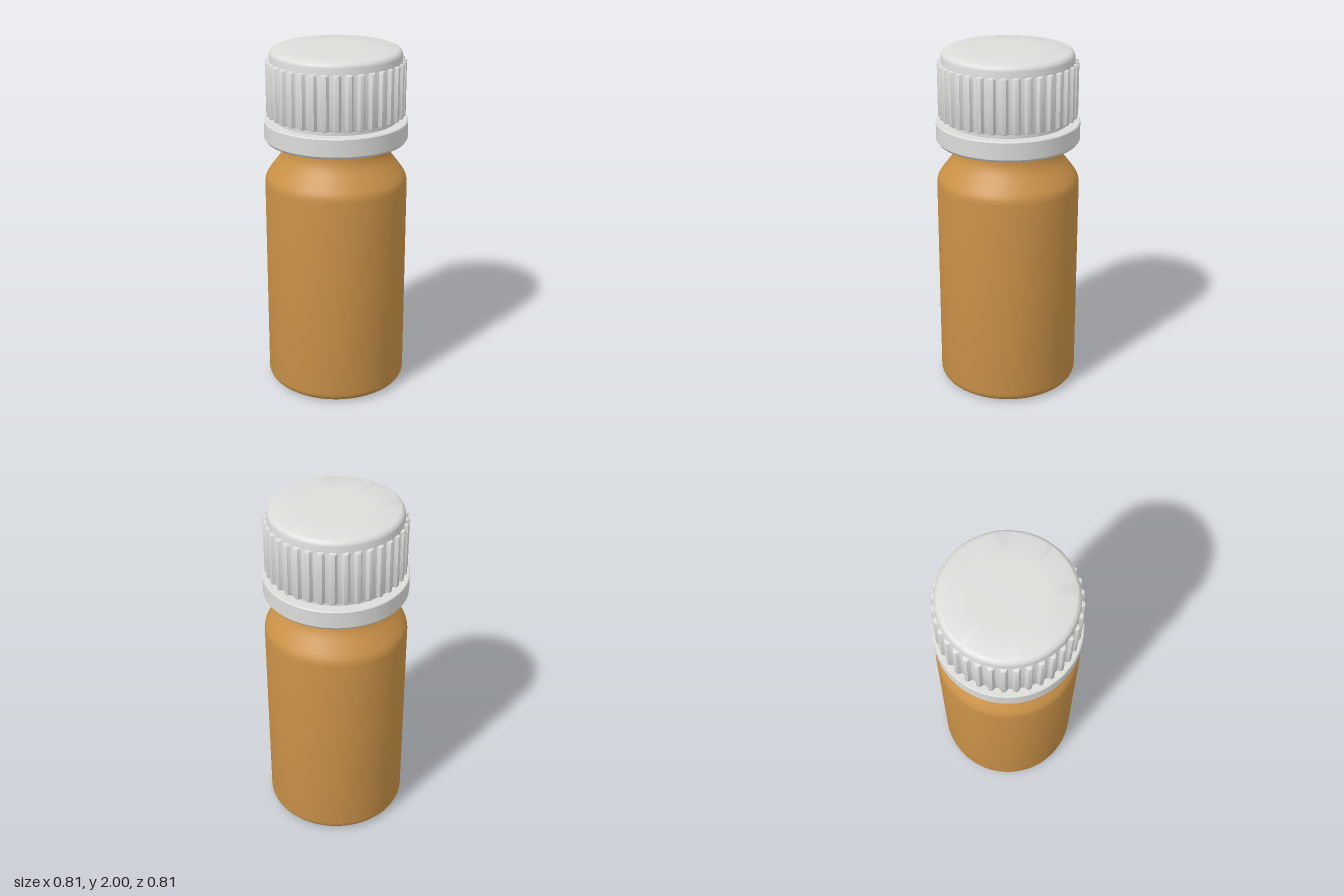
import * as THREE from 'three';
import { toCreasedNormals } from 'three/addons/utils/BufferGeometryUtils.js';

const SEGMENTS = 96;

// Lathe from [radius, height] pairs, listed from bottom to top on the outside
function lathe(name, profile, material, crease = 0.6) {
  const points = profile.map(([r, y]) => new THREE.Vector2(r, y));
  const geometry = toCreasedNormals(new THREE.LatheGeometry(points, SEGMENTS), crease);
  const mesh = new THREE.Mesh(geometry, material);
  mesh.name = name;
  return mesh;
}

// Quarter-round points between two angles
function arc(cx, cy, r, from, to, steps = 6) {
  return Array.from({ length: steps + 1 }, (_, i) => {
    const a = from + ((to - from) * i) / steps;
    return [cx + r * Math.cos(a), cy + r * Math.sin(a)];
  });
}

// Toothed outline extruded upward to make the grip
function gripGeometry(count, inner, outer, y0, y1) {
  const shape = new THREE.Shape();
  const bevel = 0.008;
  const step = (Math.PI * 2) / count;
  const teeth = [[-0.34, inner], [-0.16, outer], [0, outer + 0.003], [0.16, outer], [0.34, inner]];
  for (let i = 0; i < count; i++) {
    teeth.forEach(([t, r], k) => {
      const a = (i + t) * step + 0.02;
      if (i + k === 0) shape.moveTo(r * Math.cos(a), r * Math.sin(a));
      else shape.lineTo(r * Math.cos(a), r * Math.sin(a));
    });
  }
  shape.closePath();
  const geometry = new THREE.ExtrudeGeometry(shape, {
    depth: y1 - y0 - 2 * bevel, bevelEnabled: true, bevelSize: bevel,
    bevelThickness: bevel, bevelOffset: -bevel, bevelSegments: 2,
  });
  geometry.rotateX(-Math.PI / 2);
  geometry.translate(0, y0 + bevel, 0);
  return toCreasedNormals(geometry, 0.7);
}

export function createModel() {
  const amber = new THREE.MeshStandardMaterial({ color: 0xc99147 });
  amber.name = 'amber';
  const white = new THREE.MeshStandardMaterial({ color: 0xdcdcd9 });
  white.name = 'capWhite';

  const model = new THREE.Group();
  model.name = 'bottle';

  // Body, shoulder and neck with a bead hidden inside the ring
  const shoulder = new THREE.SplineCurve([
    [0.405, 1.235], [0.399, 1.265], [0.382, 1.295], [0.352, 1.335],
    [0.322, 1.375], [0.304, 1.41], [0.296, 1.445], [0.294, 1.48],
  ].map(([r, y]) => new THREE.Vector2(r, y))).getPoints(20).map(p => [p.x, p.y]);
  model.add(lathe('glassBody', [
    [0, 0], ...arc(0.355, 0.05, 0.05, -Math.PI / 2, 0),
    ...shoulder,
    [0.3, 1.505], [0.325, 1.53], [0.335, 1.55], [0.325, 1.575], [0.3, 1.59], [0.3, 1.66],
  ], amber));

  // Tamper ring, open underneath
  model.add(lathe('tamperRing', [
    [0.345, 1.595], [0.345, 1.48], [0.385, 1.48], [0.395, 1.484], [0.405, 1.498],
    [0.405, 1.594], [0.4, 1.599], [0.33, 1.599],
  ], white));

  // Narrow bridge between ring and cap
  model.add(lathe('capBridge', [[0.345, 1.59], [0.345, 1.64]], white));

  // Screw cap with a rounded top edge
  const cap = new THREE.Group();
  cap.name = 'cap';
  cap.add(lathe('capShell', [
    [0.29, 1.629], [0.36, 1.629], [0.369, 1.64],
    [0.369, 1.962], ...arc(0.333, 1.962, 0.036, 0, Math.PI * 0.42).slice(1),
    [0.2, 1.9995], [0, 2],
  ], white, 0.7));

  // Vertical grip ribs
  const grip = new THREE.Mesh(gripGeometry(36, 0.37, 0.388, 1.627, 1.935), white);
  grip.name = 'gripRibs';
  cap.add(grip);
  model.add(cap);

  return model;
}
